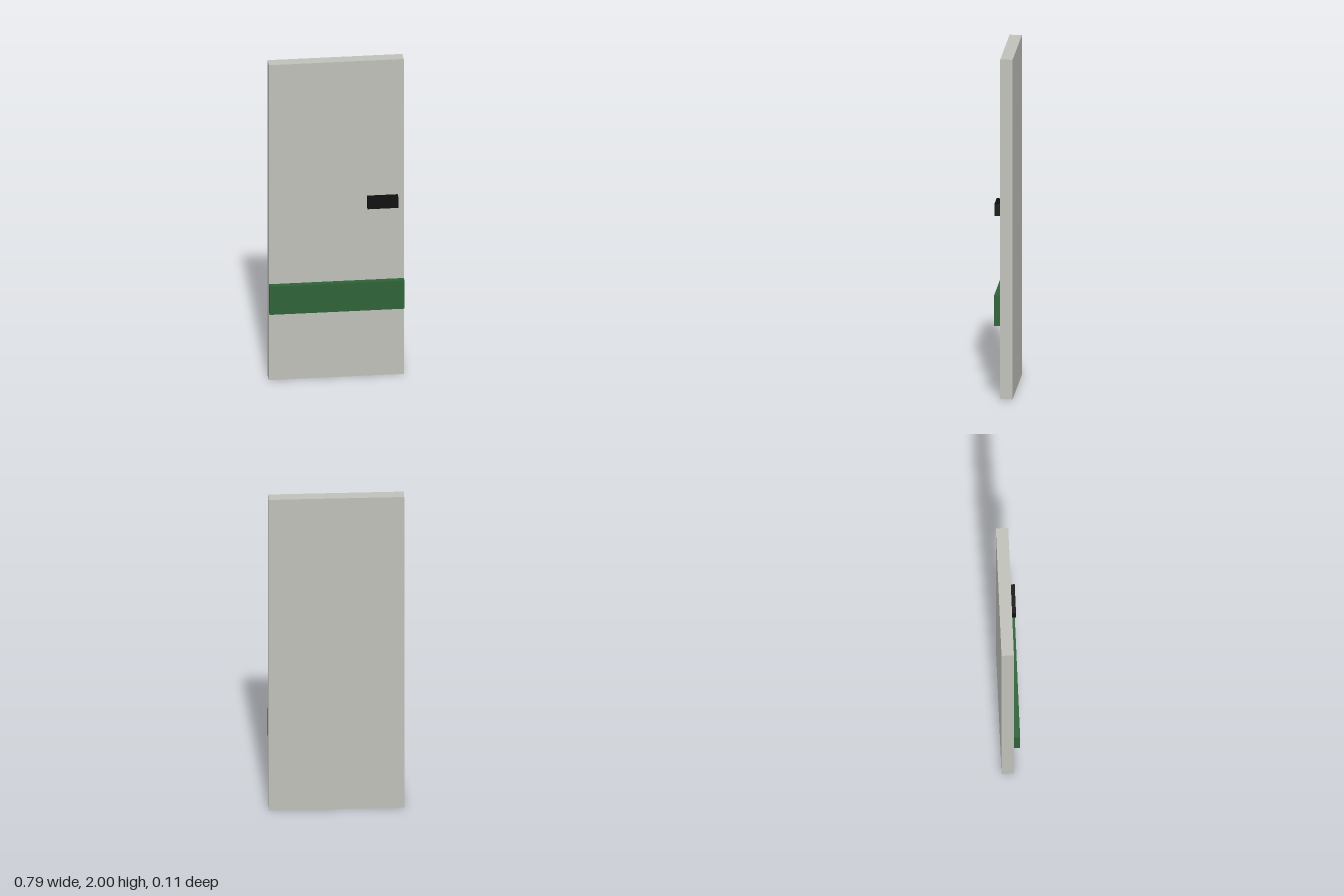
import * as THREE from 'three';

function material(name, color) {
  const m = new THREE.MeshStandardMaterial({ color });
  m.name = name;
  return m;
}

// Box given by its minimum and maximum corners
function box(name, mat, [x0, y0, z0], [x1, y1, z1]) {
  const mesh = new THREE.Mesh(new THREE.BoxGeometry(x1 - x0, y1 - y0, z1 - z0), mat);
  mesh.position.set((x0 + x1) / 2, (y0 + y1) / 2, (z0 + z1) / 2);
  mesh.name = name;
  return mesh;
}

export function createModel() {
  const grey = material('warmGrey', 0xc0c0ba);
  const green = material('darkGreen', 0x2d6236);
  const black = material('black', 0x0e0e0e);

  const half = 0.393;   // half the door width
  const back = -0.054;  // rear face
  const face = 0.018;   // front face of the slab
  const front = 0.054;  // front of the raised parts

  const door = new THREE.Group();
  door.name = 'door';
  door.add(
    box('doorPanel', grey, [-half, 0, back], [half, 2, face]),
    box('kickBand', green, [-half, 0.43, face], [half, 0.609, front]),
    box('handle', black, [0.178, 1.072, face], [0.357, 1.143, front]),
  );
  return door;
}
